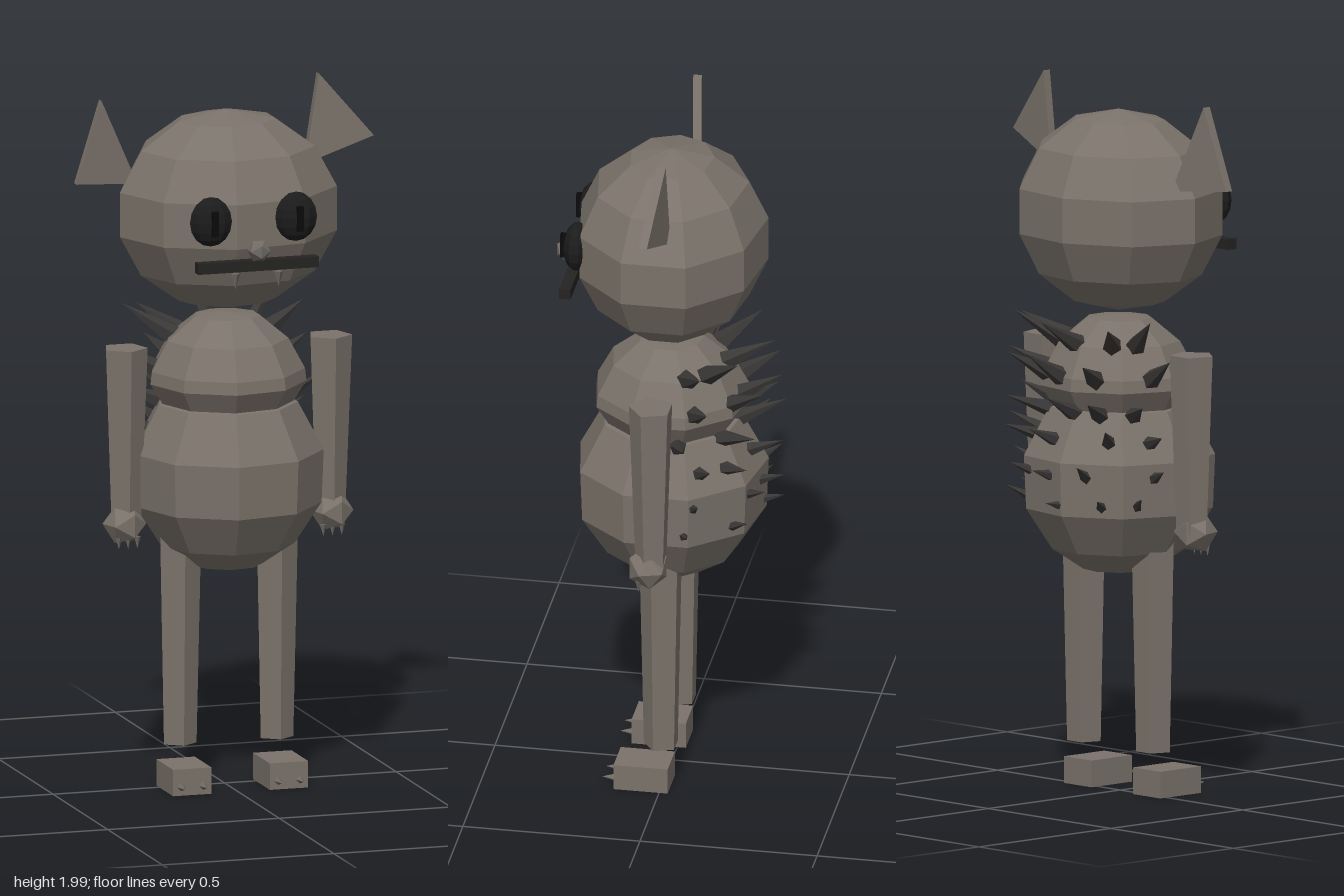
import * as THREE from 'three';

const mat = (name, color, flatShading = true) => {
  const m = new THREE.MeshStandardMaterial({ color, flatShading });
  m.name = name;
  return m;
};

export function createModel() {
  const fur = mat('grey brown fur', 0x7a726a);
  const spineMat = mat('dark spine', 0x3a3837);
  const eyeMat = mat('black eye', 0x1c1c1c);
  const pupilMat = mat('pupil black', 0x0a0a0a);
  const mouthMat = mat('mouth black', 0x242322);
  const clawMat = mat('claw grey', 0x6f6a64);

  const model = new THREE.Group();
  model.name = 'spinyCreature';
  const add = (name, geo, material, x = 0, y = 0, z = 0) => {
    const mesh = new THREE.Mesh(geo, material);
    mesh.name = name;
    mesh.position.set(x, y, z);
    model.add(mesh);
    return mesh;
  };
  const X0 = 0.006; // body midline

  // Head
  add('head', new THREE.SphereGeometry(1, 9, 7), fur, X0, 1.637, 0).scale.set(0.319, 0.283, 0.275);

  // Torso
  const lathe = (pts) => new THREE.LatheGeometry(pts.map(([r, y]) => new THREE.Vector2(r, y)), 9)
    .rotateY(-Math.PI / 2);
  add('belly', lathe([[0, 0.617], [0.1, 0.63], [0.19, 0.69], [0.264, 0.805], [0.27, 0.955],
    [0.198, 1.09], [0, 1.14]]), fur, X0);
  add('chest', lathe([[0, 1.05], [0.185, 1.09], [0.222, 1.15], [0.218, 1.185], [0.172, 1.27],
    [0.092, 1.335], [0, 1.345]]), fur, X0);

  // Limbs, mirrored
  for (const s of [1, -1]) {
    const side = s > 0 ? 'left' : 'right';
    const armX = X0 + s * 0.298;
    add(side + 'Arm', new THREE.CylinderGeometry(0.064, 0.045, 0.5, 5), fur, armX, 1.01, 0.003);
    const hand = add(side + 'Hand', new THREE.IcosahedronGeometry(0.061, 0), fur, armX + s * 0.004, 0.763, 0.012);
    hand.rotation.y = 0.3;
    for (const k of [-1, 0, 1]) {
      const claw = add(side + 'HandClaw', new THREE.ConeGeometry(0.01, 0.035, 4), clawMat,
        armX + k * 0.027, 0.712, 0.035);
      claw.rotation.x = Math.PI;
    }

    const legX = X0 + s * 0.141;
    add(side + 'Leg', new THREE.CylinderGeometry(0.063, 0.05, 0.6, 5), fur, legX, 0.43, 0.003);
    add(side + 'Foot', new THREE.BoxGeometry(0.112, 0.075, 0.153), fur, legX, 0.043, 0.052);
    for (const k of [-1, 1]) {
      const claw = add(side + 'FootClaw', new THREE.ConeGeometry(0.013, 0.04, 4), clawMat,
        legX + k * 0.032, 0.03, 0.145);
      claw.rotation.x = Math.PI / 2;
    }

    // Eyes and fangs
    add(side + 'Eye', new THREE.SphereGeometry(1, 9, 8), eyeMat, X0 + s * 0.124, 1.655, 0.245)
      .scale.set(0.061, 0.07, 0.038);
    add(side + 'Pupil', new THREE.BoxGeometry(0.018, 0.07, 0.03), pupilMat, X0 + s * 0.124, 1.655, 0.276);
    add(side + 'Fang', new THREE.ConeGeometry(0.014, 0.045, 4), clawMat, X0 + s * 0.063, 1.488, 0.28)
      .rotation.x = Math.PI;
  }

  // Nose and mouth
  add('nose', new THREE.IcosahedronGeometry(0.033, 0), clawMat, X0, 1.575, 0.295);
  add('mouth', new THREE.BoxGeometry(0.352, 0.03, 0.032), mouthMat, X0 + 0.003, 1.53, 0.269);

  // Ears: flat triangles, turned slightly so the outer edge comes forward
  const ear = (name, pts) => {
    const shape = new THREE.Shape(pts.map(([x, y]) => new THREE.Vector2(x, y)));
    const geo = new THREE.ExtrudeGeometry(shape, { depth: 0.024, bevelEnabled: false });
    const p = geo.attributes.position;
    for (let i = 0; i < p.count; i++) {
      p.setZ(i, p.getZ(i) - 0.039 + 0.17 * (Math.abs(p.getX(i)) - 0.24));
    }
    geo.computeVertexNormals();
    add(name, geo, fur);
  };
  ear('leftEar', [[0.278, 2], [0.24, 1.745], [0.43, 1.82]]);
  ear('rightEar', [[-0.36, 1.965], [-0.437, 1.735], [-0.25, 1.72]]);

  // Back spines: [root y, root radius, tip y, tip radius, base thickness]
  const rows = [
    [1.27, 0.15, 1.355, 0.295, 0.03],
    [1.18, 0.19, 1.255, 0.32, 0.03],
    [1.08, 0.18, 1.14, 0.32, 0.027],
    [1.005, 0.21, 1.055, 0.32, 0.024],
    [0.91, 0.235, 0.95, 0.32, 0.02],
    [0.83, 0.235, 0.865, 0.315, 0.018],
  ];
  const up = new THREE.Vector3(0, 1, 0);
  rows.forEach(([y0, r0, y1, r1, thick], i) => {
    for (let c = -2; c <= 2; c++) {
      const a = c * 0.58 + 0.14 * Math.sin(i * 2.3 + c * 1.7);
      const at = (r, y) => new THREE.Vector3(X0 + r * Math.sin(a), y, -r * Math.cos(a));
      const root = at(r0, y0), tip = at(r1, y1 + 0.012 * Math.sin(c * 2.1 + i) - 0.006);
      const dir = tip.clone().sub(root);
      const len = dir.length();
      const spine = add('backSpine', new THREE.ConeGeometry(thick, len, 5), spineMat);
      spine.position.copy(root).add(tip).multiplyScalar(0.5);
      spine.quaternion.setFromUnitVectors(up, dir.normalize());
    }
  });

  return model;
}
